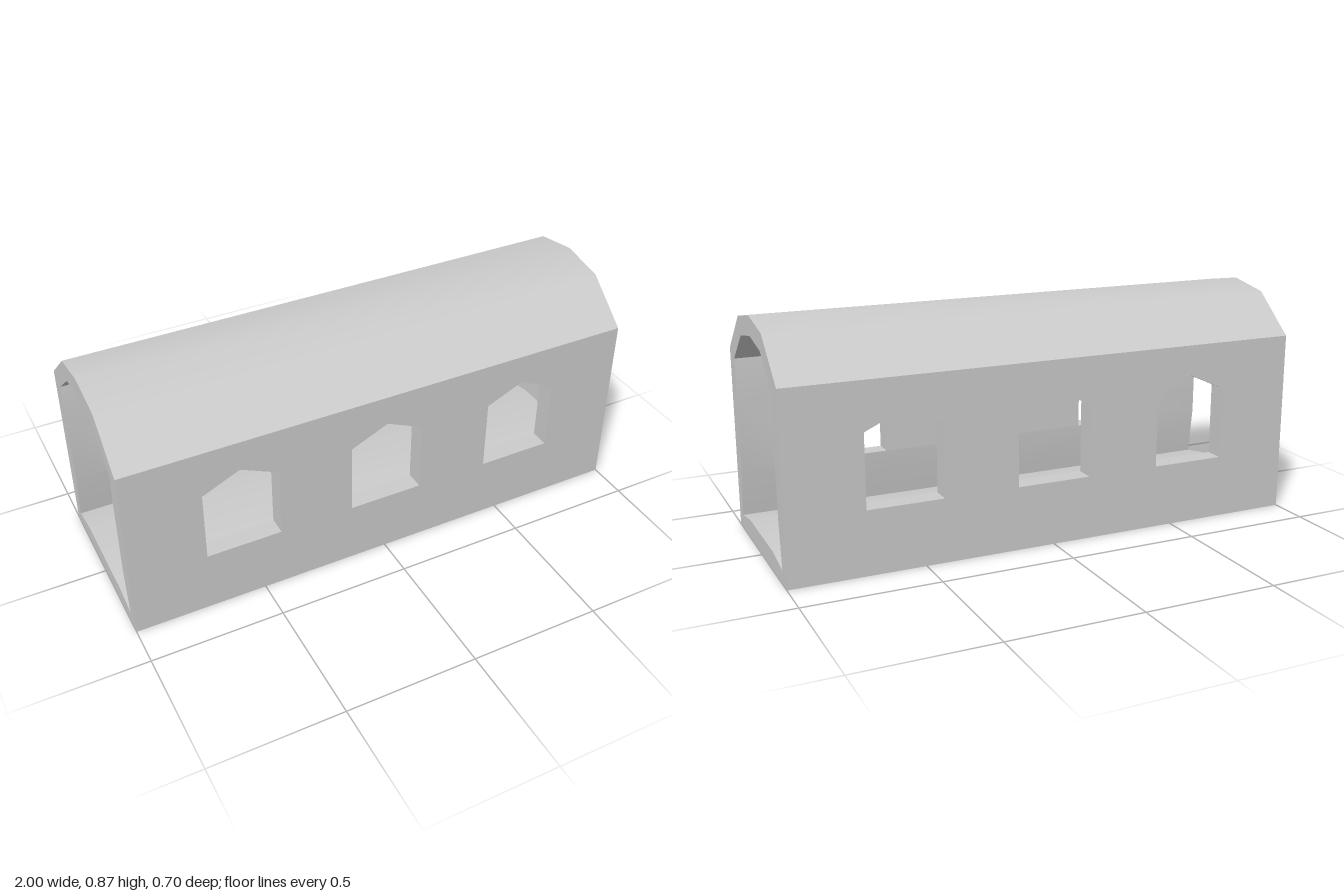
import * as THREE from 'three';
import { mergeGeometries, toCreasedNormals } from 'three/addons/utils/BufferGeometryUtils.js';

const HALF = 1, WALL_Z = 0.348;
const SILL = 0.24, SPRING = 0.515, PEAK = 0.58, WIN = 0.143;
const WINDOWS = [-0.571, 0, 0.571];

// Profiles as [z, y], running from the front to the back
const mirrored = (half) => [...half, ...half.slice().reverse().filter(([z]) => z > 0).map(([z, y]) => [-z, y])];
const outerRoof = mirrored([[WALL_Z, 0.695], [0.174, 0.843], [0, 0.873]]);
const innerRoof = mirrored([[0.283, 0.665], [0.143, 0.778], [0, 0.802]]);
const innerFloor = mirrored([[0.298, 0.052], [0.174, 0.074]]);
const base = [[-WALL_Z, 0], [WALL_Z, 0]];

// Depth of the inner wall face: thicker around the windows
const innerZ = (y) => (y < 0.06 ? 0.298 : y > 0.65 ? 0.283 : 0.276);

// Surface between two matching rows of points
function loft(a, b) {
  const pos = [];
  for (let i = 0; i < a.length - 1; i++) {
    pos.push(...a[i], ...a[i + 1], ...b[i + 1], ...a[i], ...b[i + 1], ...b[i]);
  }
  const g = new THREE.BufferGeometry();
  g.setAttribute('position', new THREE.Float32BufferAttribute(pos, 3));
  return g;
}

// Sweep a [z, y] profile along the length; side 1 faces up, -1 faces down
const sweep = (profile, side) => loft(
  profile.map(([z, y]) => [side * HALF, y, z]),
  profile.map(([z, y]) => [-side * HALF, y, z]));

const toShape = (pts) => new THREE.Shape(pts.map(([x, y]) => new THREE.Vector2(x, y)));
const rect = (x0, x1, y0, y1) => [[x0, y0], [x1, y0], [x1, y1], [x0, y1]];
const windowOutline = (x) => [[x - WIN, SILL], [x + WIN, SILL], [x + WIN, SPRING], [x, PEAK], [x - WIN, SPRING]];

// Flat face with only positions kept
function face(shape) {
  const g = new THREE.ShapeGeometry(shape).toNonIndexed();
  g.deleteAttribute('uv');
  g.deleteAttribute('normal');
  return g;
}

// Inner wall: below the sills, piers between windows, and above the springing
function innerWall() {
  const shapes = [toShape(rect(-HALF, HALF, 0.052, SILL))];
  const edges = [-HALF, ...WINDOWS.flatMap((x) => [x - WIN, x + WIN]), HALF];
  for (let i = 0; i < edges.length; i += 2) shapes.push(toShape(rect(edges[i], edges[i + 1], SILL, SPRING)));
  shapes.push(toShape([
    [-HALF, SPRING],
    ...WINDOWS.flatMap((x) => [[x - WIN, SPRING], [x, PEAK], [x + WIN, SPRING]]),
    [HALF, SPRING], [HALF, 0.665], [-HALF, 0.665],
  ]));
  const g = mergeGeometries(shapes.map(face));
  const p = g.attributes.position;
  for (let i = 0; i < p.count; i++) p.setZ(i, innerZ(p.getY(i)));
  // Turn the triangles to face the inside
  const v = new THREE.Vector3(), w = new THREE.Vector3();
  for (let i = 0; i < p.count; i += 3) {
    v.fromBufferAttribute(p, i + 1);
    w.fromBufferAttribute(p, i + 2);
    p.setXYZ(i + 1, w.x, w.y, w.z);
    p.setXYZ(i + 2, v.x, v.y, v.z);
  }
  return g;
}

export function createModel() {
  const model = new THREE.Group();
  model.name = 'vaultedPassage';
  const grey = new THREE.MeshStandardMaterial({ color: 0xcccccc });
  grey.name = 'plain grey';

  const add = (name, geometry, parent = model) => {
    const mesh = new THREE.Mesh(toCreasedNormals(geometry, 0.45), grey);
    mesh.name = name;
    parent.add(mesh);
    return mesh;
  };

  // Roof, ceiling, floor and underside
  add('roof', sweep(outerRoof, 1));
  add('ceiling', sweep(innerRoof, -1));
  add('floor', sweep(innerFloor, 1));
  add('underside', sweep(base, -1).rotateY(0).applyMatrix4(new THREE.Matrix4()));
  model.children[3].geometry.dispose();
  model.children[3].geometry = toCreasedNormals(sweep(base, 1), 0.45);

  // Side walls with three pointed windows each
  ['frontWall', 'backWall'].forEach((name, i) => {
    const wall = new THREE.Group();
    wall.name = name;
    wall.rotation.y = i * Math.PI;

    const outer = toShape(rect(-HALF, HALF, 0, 0.695));
    outer.holes = WINDOWS.map((x) => toShape(windowOutline(x)));
    add('outerFace', face(outer).translate(0, 0, WALL_Z), wall);
    add('innerFace', innerWall(), wall);

    WINDOWS.forEach((x) => {
      const outline = windowOutline(x);
      outline.push(outline[0]);
      add('windowReveal', loft(
        outline.map(([px, y]) => [px, y, WALL_Z]),
        outline.map(([px, y]) => [px, y, innerZ(y)])), wall);
    });
    model.add(wall);
  });

  // End frames: outer outline with the passage cut out
  const sideBreaks = [[0.276, SPRING], [0.276, SILL]];
  const opening = [
    ...innerRoof,
    ...sideBreaks.map(([z, y]) => [-z, y]),
    ...innerFloor.slice().reverse(),
    ...sideBreaks.slice().reverse(),
  ];
  [1, -1].forEach((side) => {
    const frame = toShape([...outerRoof, ...base]);
    frame.holes = [toShape(opening)];
    add(side > 0 ? 'leftEndFrame' : 'rightEndFrame',
      face(frame).rotateY(side * Math.PI / 2).translate(side * HALF, 0, 0));
  });

  return model;
}
